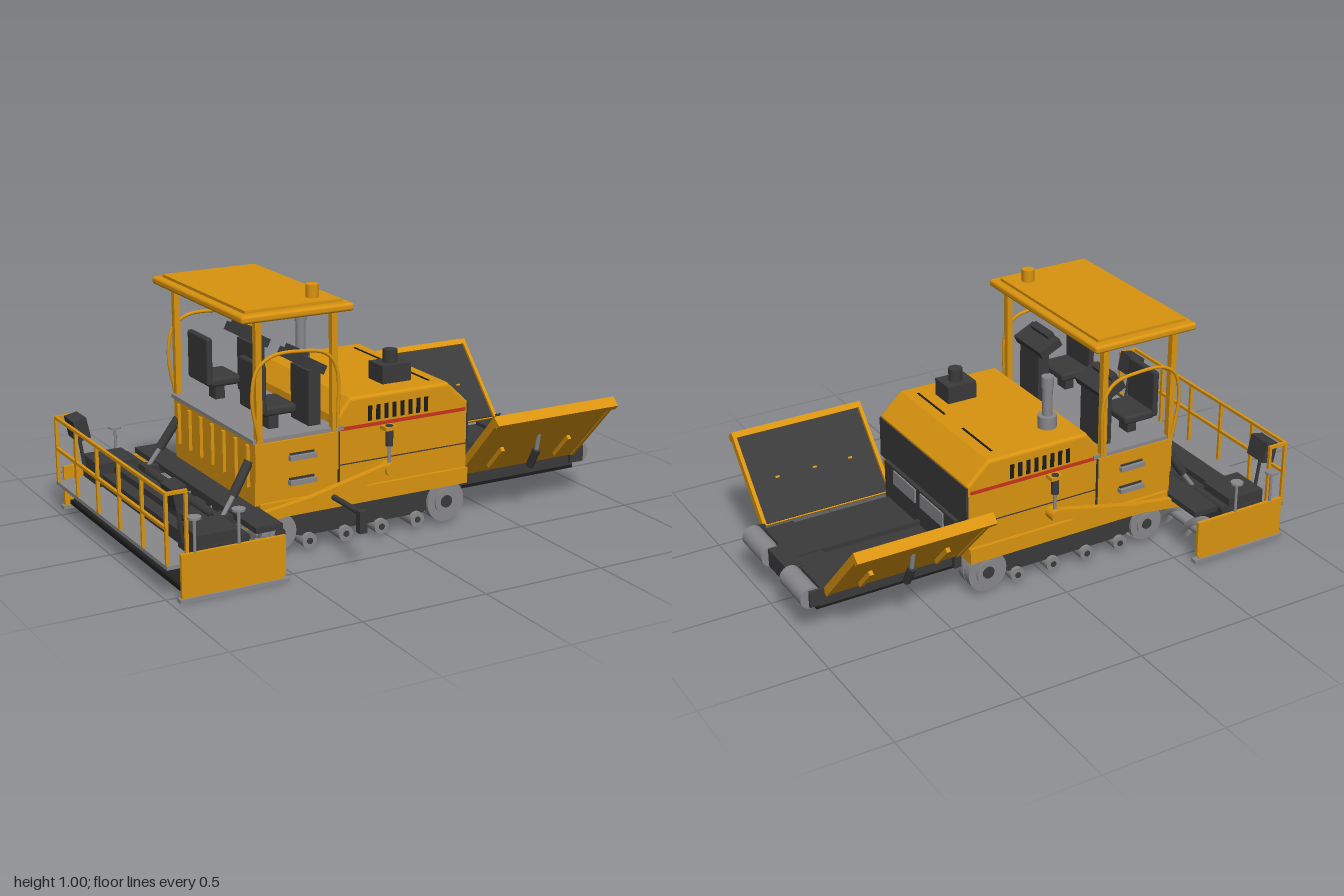
import * as THREE from 'three';
import { RoundedBoxGeometry } from 'three/addons/geometries/RoundedBoxGeometry.js';

const mat = (name, color, side = THREE.FrontSide) => {
  const m = new THREE.MeshStandardMaterial({ color, side });
  m.name = name;
  return m;
};

export function createModel() {
  const orange = mat('orange paint', 0xd9930f);
  const dark = mat('dark grey', 0x3a3a3a);
  const grey = mat('steel grey', 0x88888b, THREE.DoubleSide);
  const black = mat('black', 0x1c1c1c);
  const red = mat('red stripe', 0xc8321e);

  const model = new THREE.Group();
  model.name = 'roadPaver';
  const root = new THREE.Group();
  root.name = 'machine';
  root.position.z = -0.013;
  model.add(root);

  const add = (name, geo, m, parent = root) => {
    const mesh = new THREE.Mesh(geo, m);
    mesh.name = name;
    parent.add(mesh);
    return mesh;
  };
  // box given by its min and max along each axis
  const box = (name, m, x0, x1, y0, y1, z0, z1, parent) => {
    const b = add(name, new THREE.BoxGeometry(x1 - x0, y1 - y0, Math.abs(z1 - z0)), m, parent);
    b.position.set((x0 + x1) / 2, (y0 + y1) / 2, (z0 + z1) / 2);
    return b;
  };
  // round bar between two points
  const bar = (name, m, a, b, r, seg = 16, parent = root) => {
    const p = new THREE.Vector3(...a), d = new THREE.Vector3(...b).sub(p);
    const c = add(name, new THREE.CylinderGeometry(r, r, d.length(), seg), m, parent);
    c.position.copy(p).addScaledVector(d, 0.5);
    c.quaternion.setFromUnitVectors(new THREE.Vector3(0, 1, 0), d.normalize());
    return c;
  };
  // side profile extruded across z
  const slab = (name, m, pts, z0, z1, bevel = 0) => {
    const shape = new THREE.Shape(pts.map(p => new THREE.Vector2(...p)));
    const geo = new THREE.ExtrudeGeometry(shape, {
      depth: z1 - z0 - 2 * bevel, bevelEnabled: bevel > 0, bevelSize: bevel,
      bevelThickness: bevel, bevelOffset: -bevel, bevelSegments: 3,
    });
    geo.translate(0, 0, z0 + bevel);
    return add(name, geo, m);
  };

  // body, platform and engine hood
  box('body', orange, -0.565, 0.345, 0.215, 0.455, -0.345, 0.345);
  box('bodyCore', dark, -0.5, 0.345, 0.11, 0.22, -0.25, 0.25);
  box('platform', grey, -0.575, -0.2, 0.455, 0.47, -0.355, 0.355);
  slab('hood', orange, [[-0.23, 0.45], [0.35, 0.45], [0.35, 0.485], [0.26, 0.57], [-0.17, 0.57], [-0.225, 0.5]], -0.348, 0.348, 0.012);
  box('radiatorPanel', dark, 0.345, 0.354, 0.31, 0.478, -0.345, 0.345);
  box('hopperBulkhead', dark, 0.34, 0.37, 0.11, 0.318, -0.28, 0.28);
  for (const s of [-1, 1]) {
    box('bulkheadPanel', grey, 0.37, 0.376, 0.25, 0.31, s * 0.02, s * 0.2);
    box('hoodTopSlot', black, 0.207, 0.215, 0.565, 0.573, s * 0.07, s * 0.285);
  }
  for (let i = 0; i < 7; i++) {
    const z = -0.3 + i * 0.1;
    box('rearRib', orange, -0.578, -0.56, 0.28, 0.44, z - 0.008, z + 0.008);
  }
  box('underPlate', black, -0.5, 0.93, 0.095, 0.112, -0.25, 0.25);

  // exhaust and air intake
  bar('exhaustBase', grey, [-0.075, 0.57, -0.215], [-0.075, 0.62, -0.215], 0.037, 24);
  bar('exhaustPipe', grey, [-0.075, 0.61, -0.215], [-0.075, 0.74, -0.215], 0.02, 24);
  bar('exhaustTip', grey, [-0.075, 0.735, -0.215], [-0.075, 0.78, -0.215], 0.024, 24);
  box('intakeBox', dark, 0.03, 0.155, 0.565, 0.64, 0.14, 0.245);
  bar('intakeCap', dark, [0.092, 0.63, 0.195], [0.092, 0.69, 0.195], 0.028, 24);

  // canopy with beacon
  const roof = add('canopy', new RoundedBoxGeometry(0.455, 0.03, 0.78, 3, 0.011), orange);
  roof.position.set(-0.402, 0.925, 0);
  box('canopyTop', orange, -0.6, -0.205, 0.938, 0.951, -0.352, 0.352);
  bar('beacon', orange, [-0.285, 0.95, 0.272], [-0.285, 1.0, 0.272], 0.025, 24);

  const railPath = [[-0.555, 0.47], [-0.58, 0.62], [-0.56, 0.73], [-0.5, 0.775], [-0.38, 0.78], [-0.28, 0.76], [-0.235, 0.7], [-0.23, 0.47]];
  const tilt = Math.atan2(0.26, 0.28);

  for (const s of [-1, 1]) {
    // canopy posts and hand rail
    for (const x of [-0.55, -0.24]) {
      box('canopyPost', orange, x - 0.012, x + 0.012, 0.46, 0.915, s * 0.335, s * 0.36);
      box('postBracket', dark, x - 0.025, x + 0.025, 0.9, 0.912, s * 0.285, s * 0.335);
    }
    const curve = new THREE.CatmullRomCurve3(railPath.map(p => new THREE.Vector3(p[0], p[1], s * 0.362)));
    add('handRail', new THREE.TubeGeometry(curve, 48, 0.007, 8), orange);

    // seat and control console
    const sz = s * 0.225;
    box('seatPedestal', dark, -0.46, -0.42, 0.47, 0.54, sz - 0.03, sz + 0.03);
    const seat = add('seat', new RoundedBoxGeometry(0.14, 0.035, 0.17, 2, 0.012), dark);
    seat.position.set(-0.44, 0.552, sz);
    const back = add('seatBack', new RoundedBoxGeometry(0.025, 0.19, 0.18, 2, 0.01), dark);
    back.position.set(-0.508, 0.637, sz);
    box('consoleColumn', dark, -0.315, -0.265, 0.47, 0.68, sz - 0.07, sz + 0.07);
    const panel = add('controlPanel', new THREE.BoxGeometry(0.1, 0.035, 0.2), dark);
    panel.position.set(-0.305, 0.705, sz);
    panel.rotation.z = -0.45;
    box('consoleScreen', dark, -0.345, -0.315, 0.715, 0.755, sz - 0.065, sz + 0.065).rotation.z = -0.45;

    // side trim: skirt, mid panel, stripe, vents, steps and seams
    box('sideSkirt', orange, -0.55, 0.345, 0.16, 0.222, s * 0.25, s * 0.36);
    box('sidePanel', orange, -0.565, -0.22, 0.305, 0.45, s * 0.34, s * 0.352);
    box('sideStripe', red, -0.21, 0.335, 0.45, 0.463, s * 0.344, s * 0.352);
    for (let i = 0; i < 8; i++) {
      const x = -0.085 + i * 0.035;
      box('hoodVent', black, x - 0.008, x + 0.008, 0.472, 0.53, s * 0.343, s * 0.351);
    }
    for (const y of [0.29, 0.385]) {
      box('step', grey, -0.43, -0.32, y - 0.012, y + 0.006, s * 0.345, s * 0.37);
      box('stepRecess', dark, -0.425, -0.325, y + 0.006, y + 0.014, s * 0.345, s * 0.356);
    }
    box('panelSeam', dark, -0.22, 0.345, 0.315, 0.319, s * 0.344, s * 0.347);
    box('panelSeam', dark, -0.222, -0.217, 0.225, 0.45, s * 0.344, s * 0.354);

    // tow arm with lift cylinders
    const z0 = Math.min(s * 0.357, s * 0.385), z1 = Math.max(s * 0.357, s * 0.385);
    slab('towArm', orange, [[-0.02, 0.302], [-0.005, 0.262], [-0.3, 0.19], [-0.62, 0.15], [-0.62, 0.19], [-0.36, 0.225]], z0, z1);
    bar('towPivot', orange, [-0.015, 0.28, s * 0.345], [-0.015, 0.28, s * 0.395], 0.025, 24);
    bar('towCylinder', dark, [-0.015, 0.37, s * 0.372], [-0.015, 0.45, s * 0.372], 0.015);
    bar('towRod', grey, [-0.015, 0.28, s * 0.372], [-0.015, 0.38, s * 0.372], 0.007);
    box('towBracket', orange, -0.04, 0.01, 0.432, 0.447, s * 0.34, s * 0.388);
    bar('liftCylinder', dark, [-0.57, 0.38, s * 0.31], [-0.645, 0.265, s * 0.325], 0.018);
    bar('liftRod', grey, [-0.64, 0.27, s * 0.325], [-0.7, 0.185, s * 0.335], 0.009);

    // undercarriage: frame, wheels, rollers and sprocket teeth
    slab('trackFrame', dark, [[-0.45, 0.16], [-0.45, 0.09], [-0.36, 0.06], [0.16, 0.06], [0.22, 0.09], [0.34, 0.16]], s * 0.298 - 0.03, s * 0.298 + 0.03);
    for (const [x, r] of [[-0.465, 0.072], [0.26, 0.082]]) {
      for (const k of [-1, 1]) {
        const zc = s * 0.298 + k * 0.022;
        bar('wheel', grey, [x, 0.094, zc - 0.019], [x, 0.094, zc + 0.019], r, 32);
      }
      bar('wheelCore', grey, [x, 0.094, s * 0.25], [x, 0.094, s * 0.345], r * 0.6, 32);
      bar('wheelHub', dark, [x, 0.094, s * 0.25], [x, 0.094, s * 0.349], r * 0.3, 24);
    }
    for (let i = 0; i < 16; i++) {
      const a = i * Math.PI / 8;
      const tooth = add('sprocketTooth', new THREE.BoxGeometry(0.014, 0.012, 0.02), grey);
      tooth.position.set(-0.465 + 0.074 * Math.cos(a), 0.094 + 0.074 * Math.sin(a), s * 0.298);
      tooth.rotation.z = a;
    }
    for (const x of [-0.34, -0.185, -0.03, 0.13]) {
      bar('roller', grey, [x, 0.042, s * 0.25], [x, 0.042, s * 0.345], 0.03, 24);
      bar('rollerHub', dark, [x, 0.042, s * 0.25], [x, 0.042, s * 0.349], 0.012, 16);
    }

    // folding hopper wing: dark lining, painted shell, rim and ribs
    const wing = new THREE.Group();
    wing.name = 'hopperWing';
    wing.position.set(0, 0.175, s * 0.275);
    wing.rotation.x = s * tilt;
    root.add(wing);
    box('wingShell', orange, 0.355, 0.9, 0, 0.385, s * 0.002, s * 0.014, wing);
    box('wingLining', dark, 0.365, 0.89, 0.005, 0.375, s * -0.006, s * 0.002, wing);
    box('wingRim', orange, 0.348, 0.907, 0.365, 0.39, s * -0.014, s * 0.03, wing);
    for (const x of [0.348, 0.892]) box('wingEdge', orange, x, x + 0.015, 0, 0.37, s * -0.014, s * 0.018, wing);
    for (const x of [0.47, 0.785]) box('wingRib', orange, x - 0.008, x + 0.008, 0.05, 0.18, s * 0.012, s * 0.032, wing);
    for (const x of [0.47, 0.625, 0.785]) box('wingPin', orange, x - 0.008, x + 0.008, 0.17, 0.178, s * -0.012, s * -0.005, wing);
    bar('wingCylinder', dark, [0.625, 0.19, s * 0.38], [0.625, 0.27, s * 0.425], 0.016);
    bar('wingRod', grey, [0.625, 0.26, s * 0.42], [0.625, 0.335, s * 0.435], 0.009);

    // push rollers
    bar('pushRoller', grey, [0.955, 0.158, s * 0.08], [0.955, 0.158, s * 0.262], 0.043, 32);
    for (const z of [0.074, 0.262]) box('rollerBracket', dark, 0.9, 0.965, 0.125, 0.19, s * z, s * (z + 0.012));

    // auger half with helical blade
    const n = 120, pos = [], idx = [];
    for (let i = 0; i <= n; i++) {
      const a = i / n * 3.5 * Math.PI * 2;
      for (const r of [0.015, 0.062]) pos.push(-0.615 + r * Math.cos(a), 0.093 + r * Math.sin(a), s * (0.06 + 0.46 * i / n));
      if (i < n) idx.push(2 * i, 2 * i + 1, 2 * i + 2, 2 * i + 1, 2 * i + 3, 2 * i + 2);
    }
    const blade = new THREE.BufferGeometry();
    blade.setAttribute('position', new THREE.Float32BufferAttribute(pos, 3));
    blade.setIndex(idx);
    blade.computeVertexNormals();
    add('augerBlade', blade, grey);
    bar('augerShaft', grey, [-0.615, 0.093, s * 0.03], [-0.615, 0.093, s * 0.53], 0.02);

    // screed end plate, skid and height spindles
    const e0 = Math.min(s * 0.55, s * 0.564), e1 = Math.max(s * 0.55, s * 0.564);
    slab('endPlate', orange, [[-0.96, 0.012], [-0.57, 0.012], [-0.555, 0.03], [-0.555, 0.175], [-0.96, 0.175]], e0, e1);
    box('endSkid', grey, -0.97, -0.543, 0, 0.014, s * 0.543, s * 0.572);
    for (const x of [-0.905, -0.735]) {
      bar('spindle', grey, [x, 0.17, s * 0.557], [x, 0.3, s * 0.557], 0.006, 10);
      bar('spindleWheel', grey, [x, 0.298, s * 0.557], [x, 0.306, s * 0.557], 0.025, 24);
    }
    // screed extension housing and operator box
    box('extensionBox', dark, -0.885, -0.72, 0.12, 0.222, s * 0.37, s * 0.535);
    bar('operatorStand', dark, [-0.905, 0.18, s * 0.46], [-0.925, 0.32, s * 0.46], 0.007, 10);
    const panelBox = add('operatorBox', new THREE.BoxGeometry(0.055, 0.085, 0.1), dark);
    panelBox.position.set(-0.93, 0.36, s * 0.46);
    panelBox.rotation.z = 0.2;
    box('screedArmFoot', dark, -0.72, -0.55, 0.17, 0.205, s * 0.3, s * 0.36);
    box('rearRailSide', orange, -0.995, -0.915, 0.385, 0.397, s * 0.515, s * 0.527);
    box('rearRailSidePost', orange, -0.925, -0.913, 0.12, 0.397, s * 0.515, s * 0.527);
  }

  // hopper floor and push beam
  box('hopperFloor', dark, 0.355, 0.92, 0.112, 0.165, -0.26, 0.26);
  box('hopperApron', dark, 0.79, 0.91, 0.16, 0.18, -0.25, 0.25);
  box('floorDivider', dark, 0.36, 0.9, 0.165, 0.185, -0.008, 0.008);
  box('pushBeam', dark, 0.9, 0.97, 0.12, 0.195, -0.072, 0.095);

  // auger gearbox, cover and screed
  box('augerGearbox', dark, -0.66, -0.57, 0.05, 0.15, -0.04, 0.04);
  box('augerCover', dark, -0.66, -0.553, 0.19, 0.212, -0.54, 0.54);
  box('augerMount', dark, -0.62, -0.5, 0.14, 0.2, -0.15, 0.15);
  box('screedBody', dark, -0.87, -0.7, 0.03, 0.18, -0.54, 0.54);
  box('screedPlate', black, -0.94, -0.68, 0.018, 0.035, -0.545, 0.545);
  box('screedTopBeam', dark, -0.82, -0.75, 0.18, 0.205, -0.38, 0.38);
  bar('screedTube', dark, [-0.7, 0.185, -0.54], [-0.7, 0.185, 0.54], 0.018);
  box('walkway', grey, -1.0, -0.87, 0.115, 0.13, -0.53, 0.53);
  box('walkwayRiser', dark, -0.93, -0.87, 0.035, 0.115, -0.53, 0.53);

  // rear guard rail
  for (const y of [0.265, 0.391]) box('rearRail', orange, -1.0, -0.988, y - 0.006, y + 0.006, -0.527, 0.527);
  for (let i = 0; i < 6; i++) {
    const z = -0.52 + i * 0.208;
    box('rearRailPost', orange, -1.0, -0.988, 0.125, 0.397, z - 0.006, z + 0.006);
  }

  // side sensor arm
  bar('sensorArm', dark, [-0.26, 0.212, 0.34], [-0.26, 0.212, 0.6], 0.011, 12);
  box('sensorHead', dark, -0.275, -0.245, 0.14, 0.224, 0.575, 0.606);

  return model;
}
